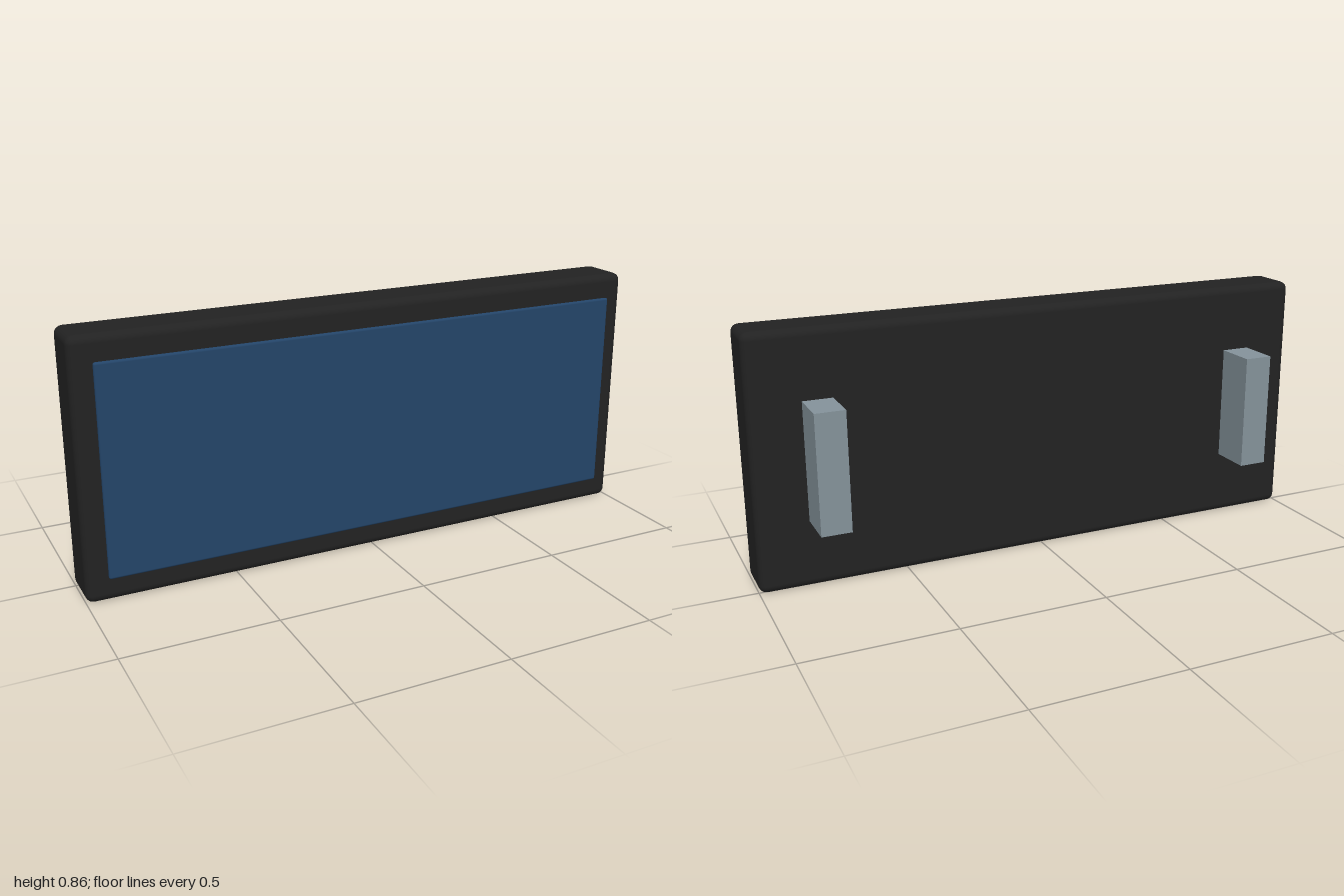
import * as THREE from 'three';
import { RoundedBoxGeometry } from 'three/addons/geometries/RoundedBoxGeometry.js';

function material(name, color) {
  const m = new THREE.MeshStandardMaterial({ color });
  m.name = name;
  return m;
}

export function createModel() {
  const group = new THREE.Group();
  group.name = 'wallDisplay';

  const black = material('housing black', 0x222222);
  const blue = material('screen blue', 0x234468);
  const grey = material('bracket grey', 0x84929a);

  const add = (name, geometry, mat, x, y, z) => {
    const mesh = new THREE.Mesh(geometry, mat);
    mesh.name = name;
    mesh.position.set(x, y, z);
    group.add(mesh);
  };

  // Rounded housing
  add('housing', new RoundedBoxGeometry(2, 0.86, 0.178, 3, 0.027), black, 0, 0.43, 0.064);

  // Thin screen panel standing just off the front face
  add('screen', new RoundedBoxGeometry(1.86, 0.698, 0.016, 3, 0.0075), blue, 0, 0.431, 0.164);

  // Pair of mounting brackets on the back
  for (const side of [-1, 1]) {
    add(side > 0 ? 'leftBracket' : 'rightBracket',
      new THREE.BoxGeometry(0.1, 0.4, 0.15), grey, side * 0.777, 0.43, -0.097);
  }

  return group;
}
